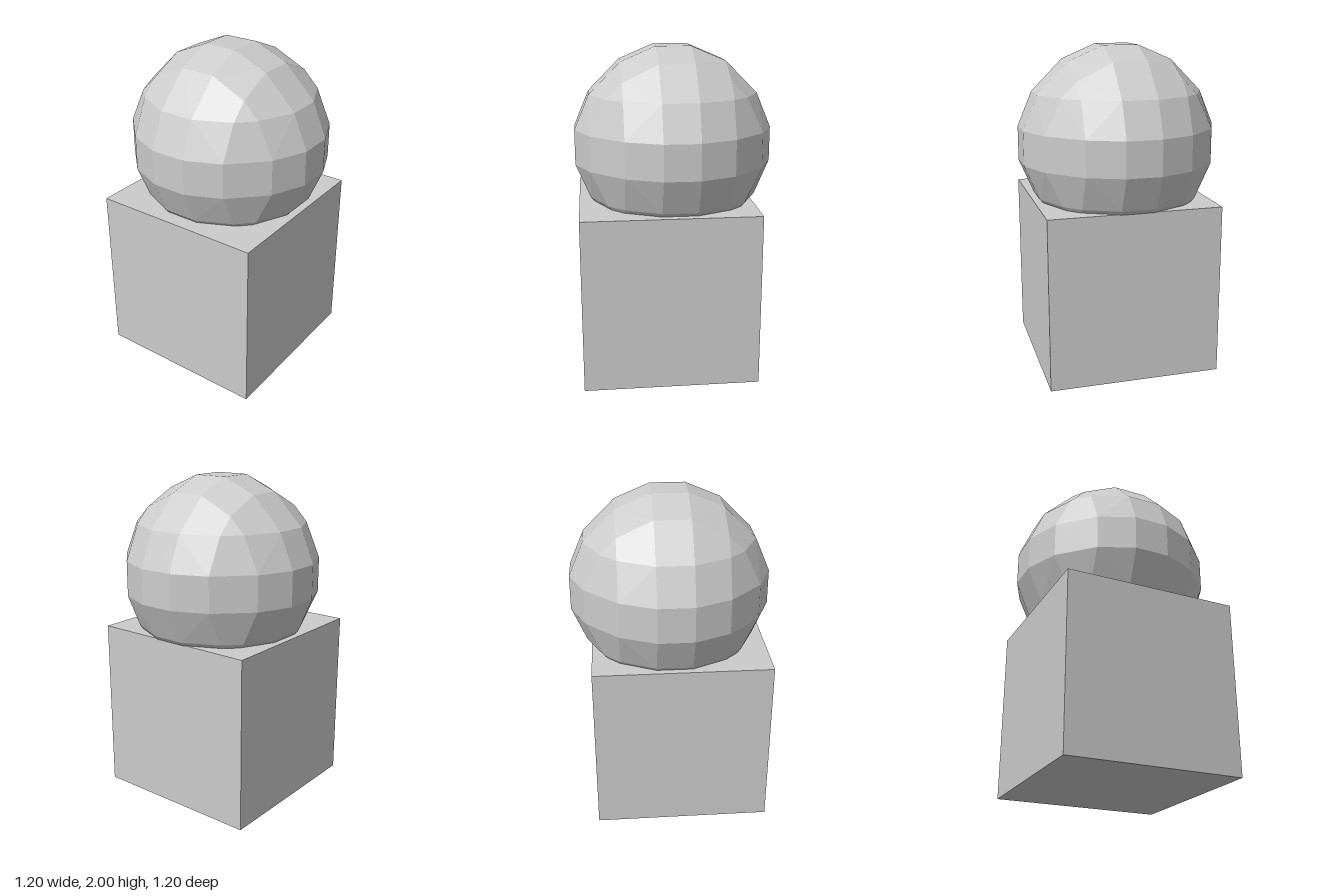
import * as THREE from 'three';
import { ConvexGeometry } from 'three/addons/geometries/ConvexGeometry.js';

export function createModel() {
  const model = new THREE.Group();
  model.name = 'ballOnCube';
  const material = new THREE.MeshStandardMaterial({ color: 0xcccccc, flatShading: true });

  // Cube base, set slightly off centre
  const side = 1.062;
  const base = new THREE.Mesh(new THREE.BoxGeometry(side, side, side), material);
  base.name = 'cubeBase';
  base.position.set(-0.05, side / 2, 0.005);
  model.add(base);

  // Faceted ball: each corner type mirrored into all octants and turned to all axes
  const corners = [[0.106, 0.106, 0.598], [0.106, 0.316, 0.509], [0.316, 0.106, 0.509], [0.316, 0.316, 0.41]];
  const points = [];
  for (const [a, b, c] of corners)
    for (const [x, y, z] of [[a, b, c], [b, c, a], [c, a, b]])
      for (const sx of [-1, 1])
        for (const sy of [-1, 1])
          for (const sz of [-1, 1]) points.push(new THREE.Vector3(sx * x, sy * y, sz * z));

  const ball = new THREE.Mesh(new ConvexGeometry(points), material);
  ball.name = 'facetedBall';
  ball.position.y = 2 - 0.598;
  model.add(ball);

  return model;
}
